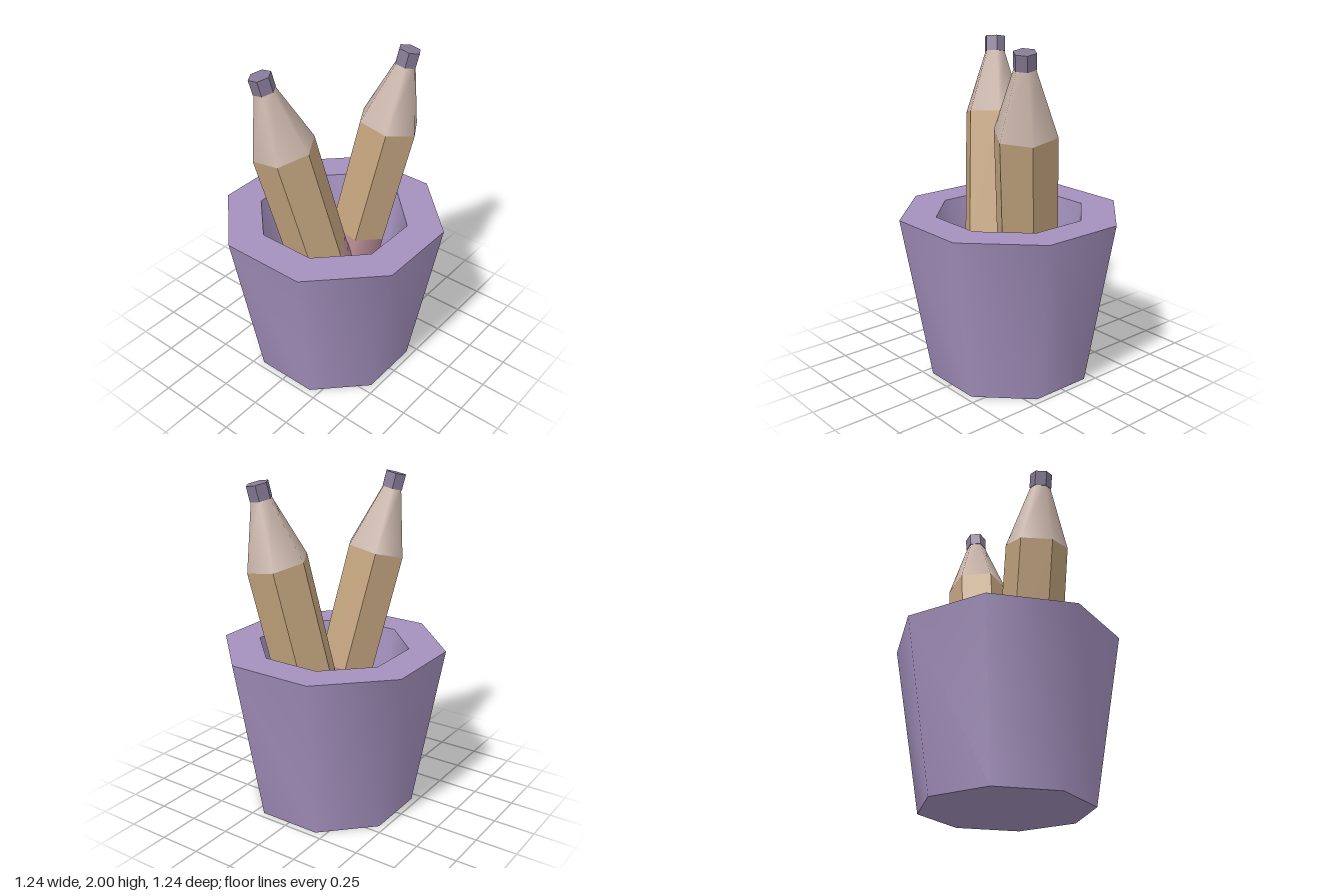
import * as THREE from 'three';
import { toCreasedNormals } from 'three/addons/utils/BufferGeometryUtils.js';

const material = (name, color) => {
  const m = new THREE.MeshStandardMaterial({ color });
  m.name = name;
  return m;
};

export function createModel() {
  const purple = material('purple pot', 0xa491be);
  const tan = material('tan barrel', 0xc3a47e);
  const wood = material('bare wood', 0xcbb6ab);
  const grey = material('grey lead', 0x857a95);
  const pink = material('pink eraser', 0xba8d98);

  const model = new THREE.Group();
  model.name = 'pencilPot';

  // Eight-sided pot with a thick rim and a sunken floor
  const profile = [[0, 0], [0.5, 0], [0.672, 1], [0.455, 1], [0.333, 0.31], [0, 0.31]]
    .map(([r, y]) => new THREE.Vector2(r, y));
  const potGeometry = toCreasedNormals(
    new THREE.LatheGeometry(profile, 8, Math.PI / 8), THREE.MathUtils.degToRad(52));
  const pot = new THREE.Mesh(potGeometry, purple);
  pot.name = 'pot';
  model.add(pot);

  // Six-sided sections, measured down the pencil from its tip
  const sections = [
    { name: 'lead', from: 0, to: 0.09, top: 0.066, bottom: 0.066, mat: grey, flat: true },
    { name: 'sharpenedWood', from: 0.09, to: 0.46, top: 0.062, bottom: 0.185, mat: wood, flat: false },
    { name: 'barrel', from: 0.46, to: 1.19, top: 0.185, bottom: 0.185, mat: tan, flat: true },
    { name: 'eraser', from: 1.19, to: 1.64, top: 0.185, bottom: 0.2, mat: pink, flat: false },
  ];

  const addPencil = (name, tip, lean) => {
    const pencil = new THREE.Group();
    pencil.name = name;
    for (const s of sections) {
      let geometry = new THREE.CylinderGeometry(
        s.top, s.bottom, s.to - s.from, 6, 1, false, Math.PI / 2);
      if (s.flat) geometry = toCreasedNormals(geometry, 0.5);
      const mesh = new THREE.Mesh(geometry, s.mat);
      mesh.name = s.name;
      mesh.position.y = -(s.from + s.to) / 2;
      pencil.add(mesh);
    }
    pencil.position.set(...tip);
    pencil.quaternion.setFromUnitVectors(
      new THREE.Vector3(0, 1, 0), new THREE.Vector3(...lean).normalize());
    model.add(pencil);
  };

  // Two pencils leaning apart
  addPencil('backPencil', [0.232, 1.987, -0.386], [0.16, 1, -0.157]);
  addPencil('frontPencil', [-0.19, 1.983, 0.368], [-0.17, 1, 0.185]);

  return model;
}
